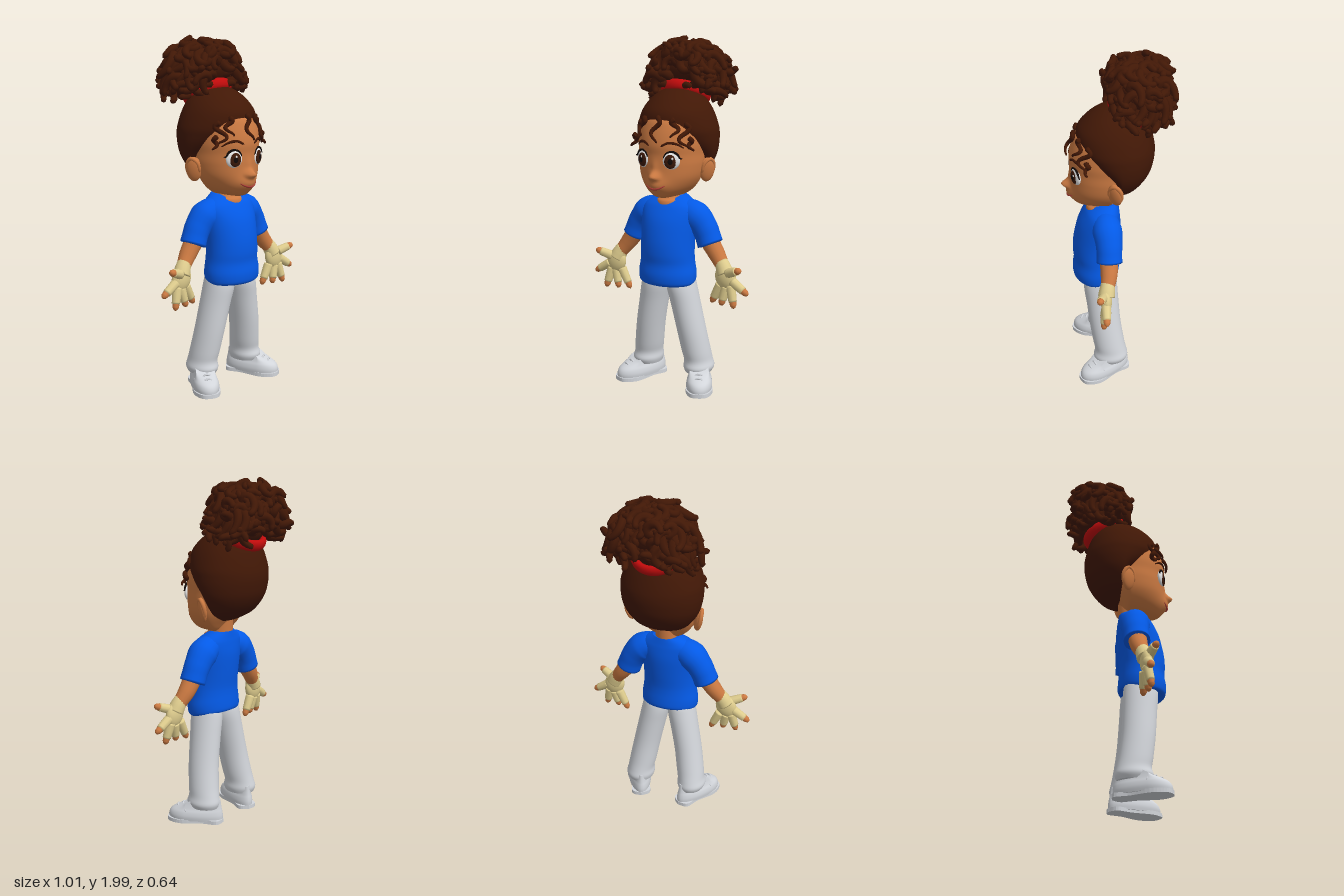
import * as THREE from 'three';
import { mergeVertices } from 'three/addons/utils/BufferGeometryUtils.js';

const paint = (name, color) => Object.assign(new THREE.MeshStandardMaterial({ color }), { name });
const V = (x, y, z) => new THREE.Vector3(x, y, z);

// Smooth closed body from horizontal rows [y, halfWidth, zFront, zBack, centreX], bottom to top
function loft(rows, { zc = null, n = 32, sub = 4 } = {}) {
  const cr = (a, b, c, d, t) => b + 0.5 * t * (c - a + t * (2 * a - 5 * b + 4 * c - d + t * (3 * (b - c) + d - a)));
  const R = (i) => rows[Math.min(Math.max(i, 0), rows.length - 1)];
  const rings = [];
  for (let i = 0; i < rows.length - 1; i++)
    for (let k = 0; k < sub; k++)
      rings.push([0, 1, 2, 3, 4].map((c) => cr(R(i - 1)[c] || 0, R(i)[c] || 0, R(i + 1)[c] || 0, R(i + 2)[c] || 0, k / sub)));
  rings.push([0, 1, 2, 3, 4].map((c) => R(rows.length)[c] || 0));
  const pos = [], idx = [];
  const addRing = ([y, rx, zf, zb, cx]) => {
    const mid = zc === null ? (zf + zb) / 2 : Math.max(Math.min(zc, zf), zb);
    for (let j = 0; j < n; j++) {
      const a = (j / n) * Math.PI * 2, c = Math.cos(a);
      pos.push(cx + rx * Math.sin(a), y, mid + c * (c > 0 ? zf - mid : mid - zb));
    }
    return (zf + zb) / 2;
  };
  rings.forEach(addRing);
  for (let i = 0; i < rings.length - 1; i++)
    for (let j = 0; j < n; j++) {
      const a = i * n + j, b = i * n + ((j + 1) % n);
      idx.push(a, b, a + n, b, b + n, a + n);
    }
  // flat end caps
  for (const [ring, top] of [[rings[0], false], [rings[rings.length - 1], true]]) {
    const start = pos.length / 3, z = addRing(ring), mid = pos.length / 3;
    pos.push(ring[4], ring[0], z);
    for (let j = 0; j < n; j++) {
      const a = start + j, b = start + ((j + 1) % n);
      top ? idx.push(mid, a, b) : idx.push(mid, b, a);
    }
  }
  const g = new THREE.BufferGeometry();
  g.setAttribute('position', new THREE.Float32BufferAttribute(pos, 3));
  g.setIndex(idx);
  g.computeVertexNormals();
  return g;
}

// Tube of changing radius along a smooth path, closed at both ends
function sweep(points, radii, segs = 16, sides = 8) {
  const curve = new THREE.CatmullRomCurve3(points);
  const g = new THREE.TubeGeometry(curve, segs, 1, sides);
  const p = g.attributes.position, v = V();
  for (let i = 0; i <= segs; i++) {
    const u = i / segs, f = u * (radii.length - 1), k = Math.min(Math.floor(f), radii.length - 2);
    const r = i === 0 || i === segs ? 0 : THREE.MathUtils.lerp(radii[k], radii[k + 1], f - k);
    const c = curve.getPointAt(u);
    for (let j = 0; j <= sides; j++) {
      const q = i * (sides + 1) + j;
      v.fromBufferAttribute(p, q).sub(c).multiplyScalar(r).add(c);
      p.setXYZ(q, v.x, v.y, v.z);
    }
  }
  g.deleteAttribute('uv');
  g.deleteAttribute('normal');
  const m = mergeVertices(g, 1e-5);
  m.computeVertexNormals();
  return m;
}

// Move every vertex of a geometry by a rule
function reshape(g, rule) {
  const p = g.attributes.position;
  for (let i = 0; i < p.count; i++) p.setXYZ(i, ...rule(p.getX(i), p.getY(i), p.getZ(i)));
  g.computeVertexNormals();
  return g;
}

const FACE = [
  [1.115, 0.04, 0.2, 0.08], [1.13, 0.085, 0.236, 0.04], [1.17, 0.135, 0.258, 0.01], [1.23, 0.172, 0.268, -0.03],
  [1.3, 0.186, 0.268, -0.06], [1.36, 0.187, 0.267, -0.08], [1.42, 0.19, 0.27, -0.08], [1.5, 0.182, 0.252, -0.08],
  [1.56, 0.152, 0.222, -0.06], [1.61, 0.1, 0.14, -0.02]];

// Muzzle, nose tip, bridge and nostrils raised out of the face
const bump = (x, y) => [[0, 1.195, 0.065, 0.04, 0.026], [0, 1.248, 0.026, 0.022, 0.042], [0, 1.29, 0.02, 0.04, 0.008],
  [0.022, 1.241, 0.011, 0.011, 0.013], [-0.022, 1.241, 0.011, 0.011, 0.013]]
  .reduce((sum, [cx, cy, w, h, d]) => sum + d * Math.exp(-(((x - cx) / w) ** 2) - ((y - cy) / h) ** 2), 0);

// Front depth of the face at x, y
function faceZ(x, y) {
  let i = 0;
  while (i < FACE.length - 2 && FACE[i + 1][0] < y) i++;
  const a = FACE[i], b = FACE[i + 1], t = (y - a[0]) / (b[0] - a[0]);
  const rx = a[1] + (b[1] - a[1]) * t, zf = a[2] + (b[2] - a[2]) * t;
  return 0.06 + (zf - 0.06) * Math.sqrt(Math.max(0, 1 - (x / rx) ** 2)) + bump(x, y);
}

export function createModel() {
  const model = new THREE.Group();
  const skin = paint('skin', 0xcc7a42), hair = paint('hair', 0x421806), blue = paint('shirt blue', 0x045cec);
  const grey = paint('light grey', 0xd2d5da), tan = paint('glove tan', 0xdfcd8e), red = paint('tie red', 0xc20c0c);
  const white = paint('eye white', 0xf2f2f2), iris = paint('iris brown', 0x3c1a0a), black = paint('pupil black', 0x120a08);
  const lip = paint('lip', 0xb04038);
  const add = (name, geo, mat, parent = model) => {
    const m = new THREE.Mesh(geo, mat);
    m.name = name;
    parent.add(m);
    return m;
  };
  const ball = (name, mat, p, r, parent) => {
    const m = add(name, new THREE.SphereGeometry(1, 24, 16), mat, parent);
    m.position.set(...p);
    m.scale.set(...r);
    return m;
  };

  // Head
  add('face', reshape(loft(FACE, { zc: 0.06, n: 110, sub: 8 }), (x, y, z) => [x, y, z > 0.13 ? z + bump(x, y) : z]), skin);
  add('hairCap', loft([[1.19, 0.07, 0.0, -0.02], [1.23, 0.145, 0.01, -0.1], [1.28, 0.19, 0.025, -0.15], [1.34, 0.222, 0.07, -0.185],
    [1.4, 0.235, 0.15, -0.2], [1.45, 0.237, 0.198, -0.205], [1.5, 0.232, 0.226, -0.2], [1.58, 0.203, 0.224, -0.18],
    [1.64, 0.165, 0.176, -0.155], [1.68, 0.12, 0.122, -0.13], [1.705, 0.07, 0.065, -0.09], [1.715, 0.01, 0.0, -0.03]],
    { zc: 0, n: 40 }), hair);
  const smile = [-0.06, -0.04, -0.02, 0, 0.02, 0.04, 0.06].map((x) => {
    const y = 1.178 + 6 * x * x;
    return V(x, y, faceZ(x, y) + 0.001);
  });
  add('mouth', sweep(smile, [0.003, 0.008, 0.003], 20, 6), lip);
  add('neck', loft([[1.03, 0.085, 0.18, 0.0], [1.09, 0.08, 0.177, 0.0], [1.12, 0.066, 0.145, 0.0], [1.24, 0.06, 0.13, -0.01]]), skin);

  // Shirt body, hem rising towards the back
  const shirt = loft([[0.618, 0.16, 0.248, 0.0], [0.633, 0.17, 0.262, -0.006], [0.68, 0.172, 0.266, -0.004], [0.74, 0.163, 0.258, 0.0],
    [0.8, 0.16, 0.262, 0.0], [0.88, 0.16, 0.256, -0.008], [0.98, 0.167, 0.232, -0.015], [1.05, 0.17, 0.196, -0.01],
    [1.085, 0.14, 0.168, -0.005], [1.12, 0.078, 0.118, 0.0]]);
  add('shirt', reshape(shirt, (x, y, z) => [x, y + 0.2 * Math.max(0, 0.16 - z) * THREE.MathUtils.clamp((0.8 - y) / 0.15, 0, 1), z]), blue);

  for (const s of [-1, 1]) {
    const side = new THREE.Group();
    side.name = s > 0 ? 'leftSide' : 'rightSide';
    model.add(side);
    const P = (x, y, z) => V(s * x, y, z);

    // Eye: white, iris, pupil and glint stacked on a turned group
    const eye = new THREE.Group();
    eye.name = 'eye';
    eye.position.set(s * 0.088, 1.335, faceZ(0.088, 1.335) - 0.003);
    eye.rotation.y = s * 0.38;
    side.add(eye);
    ball('eyeWhite', white, [0, 0, 0], [0.048, 0.048, 0.018], eye);
    ball('iris', iris, [-s * 0.004, -0.003, 0.01], [0.034, 0.039, 0.011], eye);
    ball('pupil', black, [-s * 0.004, -0.003, 0.015], [0.018, 0.022, 0.0075], eye);
    ball('glint', white, [0.008, 0.014, 0.02], [0.006, 0.007, 0.003], eye);
    const lid = [[-0.046, 0.012], [-0.026, 0.042], [0.005, 0.05], [0.034, 0.036], [0.05, 0.014], [0.064, 0.016]];
    add('eyelashes', sweep(lid.map(([x, y]) => V(s * x, y, 0.006)), [0.003, 0.006, 0.007, 0.003], 18, 6), black, eye);
    const brow = [[0.035, 1.412], [0.075, 1.432], [0.115, 1.425], [0.145, 1.4]].map(([x, y]) => P(x, y, faceZ(x, y) + 0.001));
    add('eyebrow', sweep(brow, [0.006, 0.009, 0.003], 14, 6), hair, side);

    // Ear
    const ear = ball('ear', skin, [s * 0.2, 1.268, 0.038], [0.022, 0.07, 0.044], side);
    ear.rotation.set(0, -s * 0.7, -s * 0.15);
    const rim = [[0.185, 1.25, 0.07], [0.2, 1.305, 0.066], [0.222, 1.328, 0.037], [0.226, 1.295, 0.01], [0.213, 1.24, 0.01], [0.19, 1.205, 0.04]];
    add('earRim', sweep(rim.map((p) => P(...p)), [0.008, 0.012, 0.01], 20, 8), skin, side);

    // Sleeve and forearm
    add('sleeve', sweep([P(0.04, 1.035, 0.085), P(0.14, 1.012, 0.078), P(0.205, 0.945, 0.074), P(0.25, 0.845, 0.078)],
      [0.06, 0.076, 0.085, 0.076, 0.072, 0.074], 26, 20), blue, side);
    add('forearm', sweep([P(0.23, 0.89, 0.08), P(0.29, 0.805, 0.085), P(0.35, 0.725, 0.105)], [0.055, 0.048, 0.036], 16, 16), skin, side);

    // Fingerless glove with bare fingertips
    add('gloveCuff', sweep([P(0.318, 0.772, 0.095), P(0.335, 0.748, 0.1), P(0.36, 0.7, 0.11)], [0.038, 0.044, 0.048], 14, 16), tan, side);
    const palm = ball('glovePalm', tan, [s * 0.36, 0.685, 0.112], [0.062, 0.074, 0.034], side);
    palm.rotation.z = s * 0.35;
    const fingers = [['thumb', 0.375, 0.715, 0.125, 0.468, 0.75, 0.158], ['index', 0.395, 0.675, 0.115, 0.497, 0.61, 0.122],
      ['middle', 0.39, 0.65, 0.112, 0.42, 0.527, 0.132], ['ring', 0.365, 0.64, 0.11, 0.34, 0.53, 0.125],
      ['little', 0.33, 0.65, 0.105, 0.272, 0.532, 0.105]];
    for (const [name, x, y, z, X, Y, Z] of fingers) {
      const a = P(x, y, z), b = P(X, Y, Z), k = (t) => a.clone().lerp(b, t);
      add(name + 'Glove', sweep([k(0), k(0.4), k(0.82)], [0.028, 0.026, 0.023], 12, 10), tan, side);
      add(name + 'Tip', sweep([k(0.65), k(0.85), k(1), k(1.06)], [0.02, 0.02, 0.018, 0.007], 12, 10), skin, side);
    }

    // Trouser leg with a slouched cuff
    add('trouserLeg', loft([[0.09, 0.076, 0.155, -0.028], [0.12, 0.086, 0.168, -0.038], [0.16, 0.08, 0.158, -0.03], [0.22, 0.082, 0.168, -0.018],
      [0.35, 0.082, 0.186, 0.0], [0.5, 0.083, 0.2, 0.01], [0.6, 0.084, 0.21, 0.015], [0.66, 0.074, 0.2, 0.025], [0.72, 0.06, 0.18, 0.06]]
      .map((r, i) => [...r, s * [0.168, 0.17, 0.166, 0.156, 0.134, 0.104, 0.083, 0.078, 0.075][i]])), grey, side);

    // Shoe, toes turned out
    const shoe = new THREE.Group();
    shoe.name = 'shoe';
    shoe.position.set(s * 0.174, 0, 0.06);
    shoe.rotation.y = s * 0.45;
    side.add(shoe);
    const outline = new THREE.Shape();
    outline.setFromPoints(new THREE.SplineCurve([[0, -0.118], [0.055, -0.09], [0.055, 0], [0.078, 0.12], [0.05, 0.198], [0, 0.216],
      [-0.05, 0.198], [-0.076, 0.12], [-0.055, 0], [-0.055, -0.09], [0, -0.118]].map(([x, y]) => new THREE.Vector2(x, y))).getPoints(48));
    const sole = add('sole', new THREE.ExtrudeGeometry(outline, { depth: 0.022, bevelEnabled: false }), grey, shoe);
    sole.rotation.x = Math.PI / 2;
    sole.position.y = 0.022;
    add('shoeUpper', loft([[0.015, 0.072, 0.211, -0.114], [0.04, 0.075, 0.211, -0.115], [0.065, 0.071, 0.198, -0.112], [0.085, 0.063, 0.165, -0.108],
      [0.11, 0.056, 0.105, -0.104], [0.14, 0.05, 0.05, -0.1]], { zc: 0.1 }), grey, shoe);
    for (let i = 0; i < 3; i++) {
      const z = 0.085 + i * 0.032, y = 0.118 - i * 0.014;
      add('lace', sweep([V(-0.036, y - 0.018, z), V(0, y + 0.004, z + 0.006), V(0.036, y - 0.018, z)], [0.006, 0.006], 10, 6), grey, shoe);
    }
    add('laceEnd', sweep([V(0, 0.115, 0.09), V(s * 0.045, 0.1, 0.1), V(s * 0.07, 0.07, 0.095)], [0.005, 0.004], 10, 6), grey, shoe);
  }

  // Loose strands over the forehead: start x, y, drop, sway
  const strands = [[-0.1, 1.56, 0.1, 0.018], [-0.135, 1.535, 0.13, -0.02], [-0.165, 1.46, 0.07, -0.012], [0, 1.57, 0.14, 0.02],
    [0.095, 1.56, 0.1, -0.018], [0.135, 1.535, 0.14, 0.02], [0.165, 1.46, 0.07, 0.012]];
  for (const [x, y, drop, sway] of strands) {
    const pts = [];
    for (let i = 0; i <= 12; i++) {
      const t = i / 12, px = x * (1 + 0.14 * t) + sway * Math.sin(t * 8), py = y - drop * t;
      pts.push(V(px, py, faceZ(Math.sign(px) * Math.min(Math.abs(px), 0.16), py) + 0.016 + 0.01 * Math.cos(t * 8)));
    }
    add('foreheadStrand', sweep(pts, [0.015, 0.012, 0.005], 28, 8), hair);
  }

  // Hair tie and gathered hair
  const tie = add('hairTie', new THREE.TorusGeometry(0.122, 0.022, 12, 40), red);
  tie.position.set(0, 1.676, -0.08);
  tie.rotation.x = -(Math.PI / 2 + 0.45);
  tie.scale.z = 1.5;
  ball('gatheredHair', hair, [0, 1.72, -0.1], [0.112, 0.1, 0.112]);
  ball('puffCore', hair, [0, 1.82, -0.118], [0.215, 0.125, 0.145]);

  // Chunky corkscrew curls spread evenly around the puff
  let seed = 7;
  const rand = () => (seed = (seed * 16807) % 2147483647) / 2147483647;
  const full = (c) => Math.sign(c) * Math.abs(c) ** 0.85;
  const N = 170;
  for (let i = 0; i < N; i++) {
    const dy = 1 - (2 * (i + 0.5)) / N, a = i * 2.39996, q = Math.sqrt(1 - dy * dy);
    const d = V(q * Math.cos(a), dy, q * Math.sin(a));
    if (dy < -0.7 || (d.z > 0.1 && Math.abs(d.x) < 0.33 && dy < 0)) continue;
    const u = V(-d.z, 0.3, d.x).cross(d).normalize(), w = d.clone().cross(u);
    const reach = 0.84 + 0.24 * rand(), phase = rand() * 6.28, spin = rand() < 0.5 ? -1 : 1;
    const pts = [];
    for (let k = 0; k <= 9; k++) {
      const t = k / 9, f = (0.5 + 0.5 * t) * reach, h = 0.037 * Math.min(1, t * 2.5), ang = phase + spin * t * 6.3;
      pts.push(V(full(d.x) * 0.275 * f, full(d.y) * 0.17 * f - 0.1 * t * t * Math.abs(d.x), full(d.z) * 0.198 * f)
        .addScaledVector(u, h * Math.cos(ang)).addScaledVector(w, h * Math.sin(ang)).add(V(0, 1.82, -0.112)));
    }
    add('curl', sweep(pts, [0.027, 0.026, 0.023, 0.014], 18, 8), hair);
  }
  return model;
}
